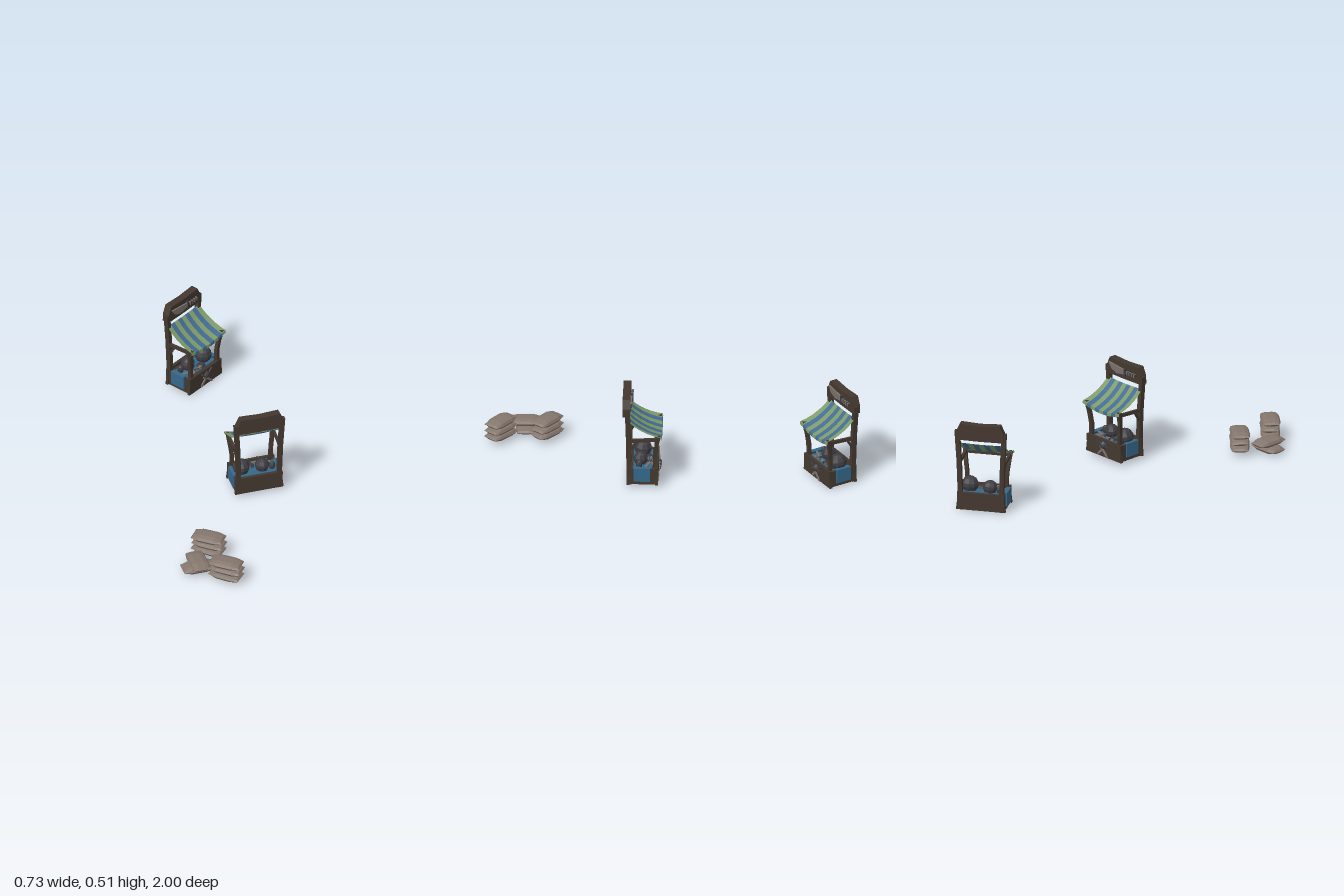
import * as THREE from 'three';

const mat = (name, color, extra = {}) => {
  const m = new THREE.MeshStandardMaterial({ color, flatShading: true, ...extra });
  m.name = name;
  return m;
};
const wood = mat('dark wood', 0x43382f);
const sackCloth = mat('sack cloth', 0x84766d);
const green = mat('awning green', 0x7d9a68, { side: THREE.DoubleSide });
const blue = mat('awning blue', 0x426b94, { side: THREE.DoubleSide });
const cloth = mat('counter cloth blue', 0x35688a);
const iron = mat('dark iron', 0x3d3d43);
const steel = mat('dull steel', 0x7a706b);

function add(parent, name, geo, material, pos = [0, 0, 0], rot = [0, 0, 0]) {
  const m = new THREE.Mesh(geo, material);
  m.name = name;
  m.position.set(...pos);
  m.rotation.set(...rot);
  parent.add(m);
  return m;
}
const box = (w, h, d) => new THREE.BoxGeometry(w, h, d);

// Flat outline with thickness, starting at z = 0
function slab(points, depth) {
  const s = new THREE.Shape(points.map(([x, y]) => new THREE.Vector2(x, y)));
  return new THREE.ExtrudeGeometry(s, { depth, bevelEnabled: false });
}

// Four-sided timber following a list of centre points from bottom to top
function timber(points, w, d) {
  const g = new THREE.BoxGeometry(w, 1, d, 1, points.length - 1, 1);
  const p = g.attributes.position;
  for (let i = 0; i < p.count; i++) {
    const c = points[Math.round((p.getY(i) + 0.5) * (points.length - 1))];
    p.setXYZ(i, p.getX(i) + c[0], c[1], p.getZ(i) + c[2]);
  }
  g.computeVertexNormals();
  return g;
}

// Flattened sack: thin ends, bulging middle, pinched rims
function sackGeometry(len, wid, hgt) {
  const g = new THREE.BoxGeometry(2, 2, 2, 4, 2, 4);
  const p = g.attributes.position;
  for (let i = 0; i < p.count; i++) {
    const x = p.getX(i), y = p.getY(i), z = p.getZ(i);
    const end = Math.abs(x) > 0.9, mid = Math.abs(y) < 0.1;
    const ex = end && !mid ? 0.9 : 1;
    const wz = (end ? 0.84 : 1) * (mid ? 1 : 0.84);
    const hy = (end ? 0.5 : 0.92 + 0.08 * (1 - Math.abs(x))) * (Math.abs(z) > 0.9 ? 0.65 : 1);
    p.setXYZ(i, x * ex * len / 2, y * hy * hgt / 2, z * wz * wid / 2);
  }
  g.computeVertexNormals();
  return g;
}

// One awning stripe between x0 and x1, sagging to the front with a short drop
function awningStripe(x0, x1) {
  const prof = [[-0.075, 0.377], [-0.045, 0.35], [-0.01, 0.326], [0.03, 0.306], [0.07, 0.293], [0.1, 0.287], [0.102, 0.272]];
  const n = prof.length - 1;
  const g = new THREE.PlaneGeometry(1, 1, 2, n);
  const p = g.attributes.position;
  for (let i = 0; i < p.count; i++) {
    const x = x0 + (p.getX(i) + 0.5) * (x1 - x0);
    const k = Math.round((0.5 - p.getY(i)) * n);
    const sag = (0.004 + 0.018 * k / n) * (1 - (x / 0.14) ** 2);
    p.setXYZ(i, x * (0.93 + 0.07 * k / n), prof[k][1] - sag, prof[k][0]);
  }
  g.computeVertexNormals();
  return g;
}

function sword(parent, name, length, pos, rot) {
  const s = new THREE.Group();
  s.name = name;
  const h = length / 2;
  add(s, 'blade', slab([[-h, 0], [-h + 0.015, -0.006], [h * 0.5, -0.007], [h * 0.5, 0.007], [-h + 0.015, 0.006]], 0.005), steel);
  add(s, 'guard', box(0.006, 0.03, 0.009), iron, [h * 0.5, 0, 0.003]);
  add(s, 'grip', box(h * 0.5, 0.007, 0.007), iron, [h * 0.75, 0, 0.003]);
  s.position.set(...pos);
  s.rotation.set(...rot);
  parent.add(s);
}

function helmet(parent, x, y, z, r, h) {
  const prof = [[0.8, 0], [1, 0.3], [0.98, 0.55], [0.72, 0.85], [0.3, 1], [0, 1.02]];
  const g = new THREE.LatheGeometry(prof.map(([a, b]) => new THREE.Vector2(a * r, b * h)), 9);
  add(parent, 'helmet', g, iron, [x, y, z], [0.08, 0.4, 0.06]);
}

function stall() {
  const g = new THREE.Group();
  // Flared base panels
  const panel = [[-0.134, 0], [0.134, 0], [0.128, 0.05], [0.129, 0.097], [-0.129, 0.097], [-0.128, 0.05]];
  add(g, 'backPanel', slab(panel, 0.016), wood, [0, 0, -0.084]);
  add(g, 'frontPanel', slab(panel, 0.016), wood, [0, 0, 0.066]);
  add(g, 'counter', box(0.24, 0.008, 0.14), wood, [0, 0.076, 0]);
  add(g, 'counterCloth', box(0.238, 0.004, 0.1), cloth, [0, 0.083, 0]);

  for (const s of [-1, 1]) {
    add(g, 'sidePanel', box(0.012, 0.09, 0.136), wood, [s * 0.12, 0.047, 0]);
    add(g, 'sideCloth', box(0.008, 0.076, 0.086), cloth, [s * 0.131, 0.06, -0.003]);
    add(g, 'clothFold', box(0.024, 0.004, 0.086), cloth, [s * 0.123, 0.097, -0.003]);
    add(g, 'backPost', timber([[s * 0.114, 0, -0.072], [s * 0.113, 0.12, -0.072], [s * 0.118, 0.28, -0.075], [s * 0.128, 0.448, -0.08]], 0.024, 0.026), wood);
    add(g, 'frontPost', timber([[s * 0.114, 0, 0.068], [s * 0.106, 0.1, 0.066], [s * 0.108, 0.16, 0.066], [s * 0.116, 0.22, 0.072], [s * 0.125, 0.287, 0.086]], 0.02, 0.02), wood);
    add(g, 'sideBeam', box(0.014, 0.018, 0.155), wood, [s * 0.12, 0.262, 0.002], [-0.06, 0, 0]);
    add(g, 'brace', timber([[s * 0.119, 0.2, -0.066], [s * 0.12, 0.258, -0.03]], 0.012, 0.014), wood);
  }
  add(g, 'frontBeam', box(0.24, 0.012, 0.012), wood, [0, 0.264, 0.085]);

  // Sign board with a broad blade mounted on its front
  const sign = [[-0.131, 0.404], [0, 0.402], [0.131, 0.404], [0.128, 0.451], [0.108, 0.496], [0, 0.49], [-0.108, 0.496], [-0.128, 0.451]];
  add(g, 'signBoard', slab(sign, 0.04), wood, [0, 0, -0.106]);
  add(g, 'signBlade', slab([[-0.108, 0.472], [-0.085, 0.438], [-0.045, 0.423], [0.012, 0.432], [0.016, 0.458], [-0.04, 0.464]], 0.009), steel, [0, 0, -0.066]);
  add(g, 'signGuard', box(0.008, 0.045, 0.016), iron, [0.018, 0.446, -0.06]);
  add(g, 'signGrip', box(0.075, 0.013, 0.012), iron, [0.058, 0.446, -0.06]);
  for (let i = 0; i < 4; i++) add(g, 'gripRing', box(0.006, 0.019, 0.016), steel, [0.035 + i * 0.018, 0.446, -0.06]);

  // Striped awning
  const n = 9, w = 0.28 / n;
  for (let i = 0; i < n; i++) add(g, 'awningStripe', awningStripe(-0.14 + i * w, -0.14 + (i + 1) * w), i % 2 ? blue : green);

  // Goods on the counter
  helmet(g, 0.078, 0.086, -0.005, 0.046, 0.073);
  helmet(g, -0.034, 0.086, -0.015, 0.038, 0.062);
  helmet(g, -0.088, 0.086, -0.02, 0.017, 0.04);
  add(g, 'smallShield', new THREE.CylinderGeometry(0.016, 0.026, 0.012, 8), iron, [0.02, 0.093, 0.03]);
  sword(g, 'counterSword', 0.13, [-0.02, 0.093, 0.045], [-Math.PI / 2, 0, 0.15]);
  sword(g, 'counterSword', 0.11, [-0.07, 0.093, 0.03], [-Math.PI / 2, 0, -0.35]);

  // Crossed swords and a shield on the front panel
  for (const s of [-1, 1]) sword(g, 'crossedSword', 0.12, [0, 0.047, 0.083 + (s + 1) * 0.003], [0, 0, Math.PI / 2 + s * 0.8]);
  add(g, 'frontShield', new THREE.CylinderGeometry(0.012, 0.024, 0.014, 8), iron, [0, 0.066, 0.093], [Math.PI / 2, 0, 0]);
  return g;
}

export function createModel() {
  const root = new THREE.Group();
  root.name = 'marketPlace';

  // Two stalls
  const a = stall();
  a.name = 'middleStall';
  a.position.set(0.223, 0.019, 0.14);
  a.rotation.y = Math.PI;
  const b = stall();
  b.name = 'rearStall';
  b.position.set(0.188, 0.006, -0.846);
  b.rotation.y = 0.575;
  root.add(a, b);

  // Sack stacks
  const sack = sackGeometry(0.172, 0.102, 0.042);
  const place = (x, y, z, r) => add(root, 'sack', sack, sackCloth, [x, y, z], [0, r, 0]);
  for (const [x, z] of [[-0.19, 0.658], [-0.167, 0.902]]) {
    for (let i = 0; i < 3; i++) place(x + (i % 2) * 0.004, 0.037 + i * 0.037, z, -0.7 + (i - 1) * 0.04);
  }
  place(-0.285, 0.021, 0.775, 0);
  place(-0.285, 0.055, 0.775, Math.PI / 2);
  return root;
}
